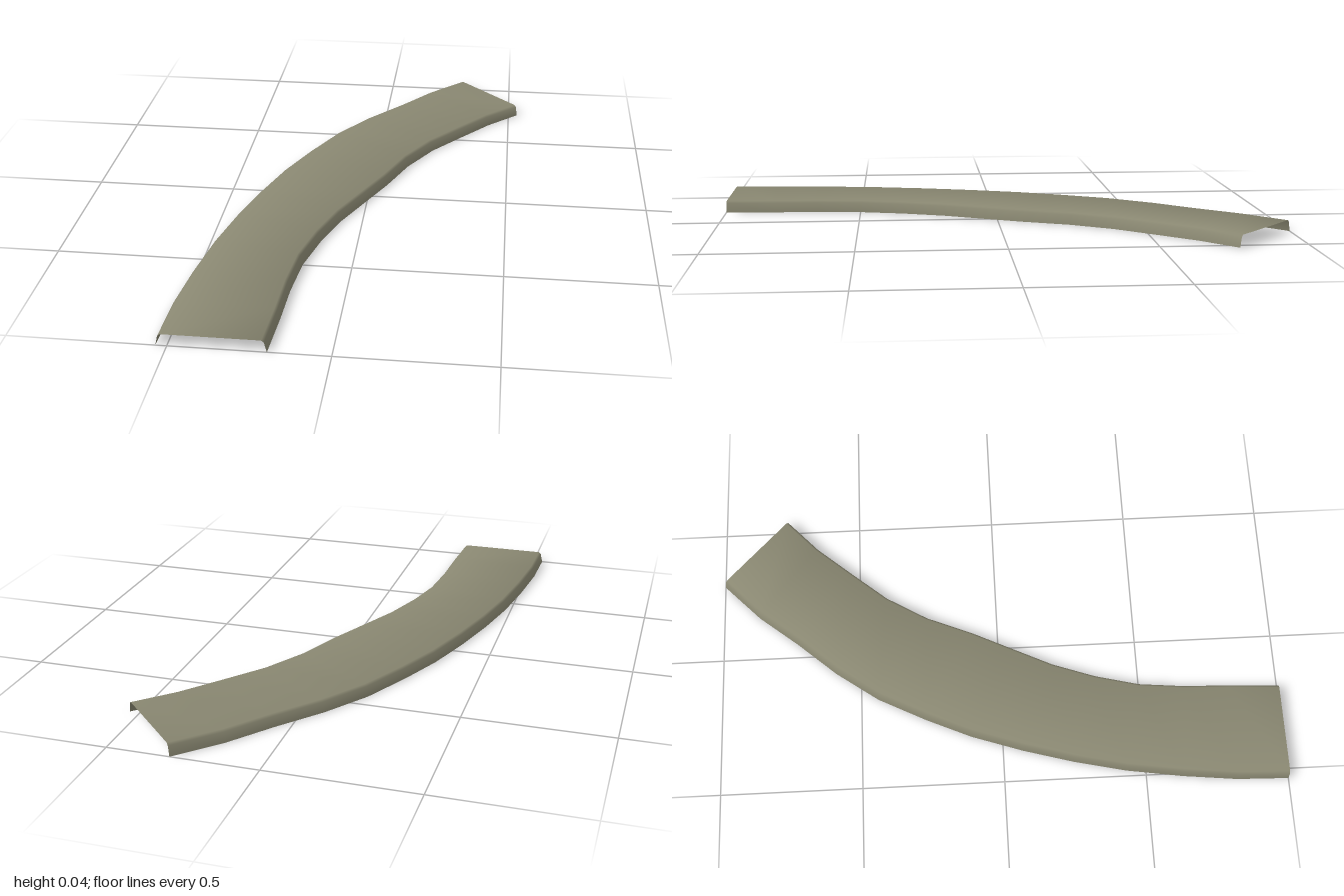
import * as THREE from 'three';
import { toCreasedNormals } from 'three/addons/utils/BufferGeometryUtils.js';

// Bottom edges of the curved cover in plan, [x, z], front end to back end
const leftEdge = [
  [-0.535, 1], [-0.53, 0.82], [-0.51, 0.63], [-0.48, 0.43], [-0.44, 0.25], [-0.39, 0.07], [-0.33, -0.11],
  [-0.26, -0.27], [-0.175, -0.44], [-0.07, -0.59], [0.05, -0.73], [0.16, -0.87], [0.29, -1],
];
const rightEdge = [
  [-0.195, 1], [-0.185, 0.82], [-0.18, 0.66], [-0.165, 0.5], [-0.127, 0.345], [-0.075, 0.195], [0.003, 0.03],
  [0.06, -0.09], [0.125, -0.25], [0.21, -0.395], [0.32, -0.53], [0.42, -0.65], [0.535, -0.76],
];

// Half of the cross-section: [inset from the bottom edge, height]
const lip = [[0, 0], [0.008, 0.034], [0.016, 0.041]];

// Full cross-section at one station: left lip up, across the top, right lip down
function section(i) {
  const left = new THREE.Vector3(leftEdge[i][0], 0, leftEdge[i][1]);
  const right = new THREE.Vector3(rightEdge[i][0], 0, rightEdge[i][1]);
  const across = right.clone().sub(left).normalize();
  const rise = lip.map(([d, y]) => left.clone().addScaledVector(across, d).setY(y));
  const fall = lip.map(([d, y]) => right.clone().addScaledVector(across, -d).setY(y)).reverse();
  return [...rise, ...fall];
}

export function createModel() {
  const group = new THREE.Group();
  group.name = 'curvedCover';

  // Skin the cross-sections along the bend
  const sections = leftEdge.map((_, i) => section(i));
  const n = sections[0].length;
  const index = [];
  for (let i = 0; i < sections.length - 1; i++) {
    for (let j = 0; j < n - 1; j++) {
      const a = i * n + j;
      index.push(a, a + 1, a + n + 1, a, a + n + 1, a + n);
    }
  }
  const geometry = new THREE.BufferGeometry().setFromPoints(sections.flat());
  geometry.setIndex(index);

  // Thin sheet, open underneath and at both ends
  const olive = new THREE.MeshStandardMaterial({ color: 0x8a8872, side: THREE.DoubleSide });
  olive.name = 'olive grey';
  const sheet = new THREE.Mesh(toCreasedNormals(geometry, Math.PI / 3), olive);
  sheet.name = 'curvedSheet';
  group.add(sheet);
  return group;
}
